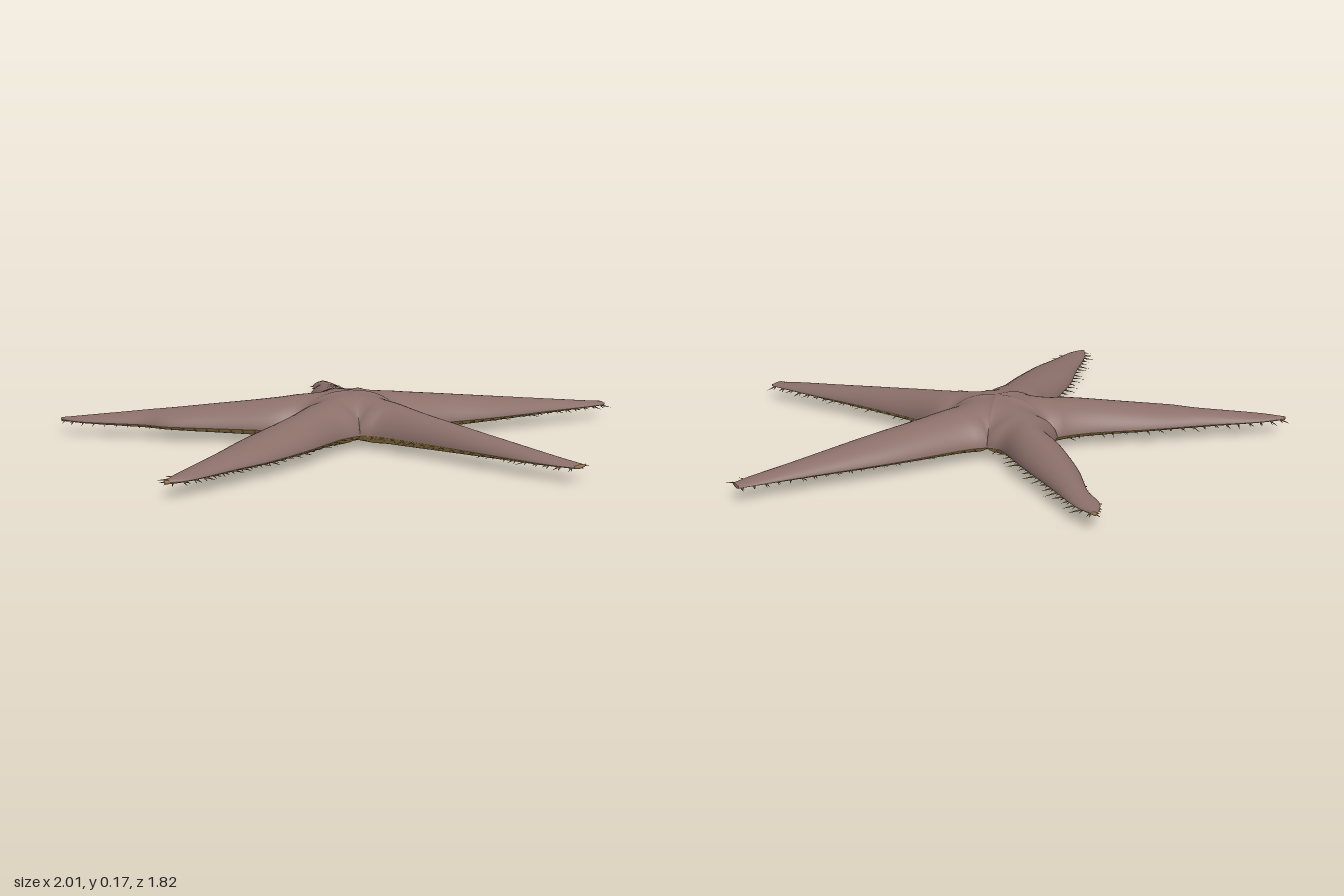
import * as THREE from 'three';
import { mergeGeometries, mergeVertices } from 'three/addons/utils/BufferGeometryUtils.js';

const CENTRE = new THREE.Vector2(-0.03, 0);
const INNER = 10, OUTER = 30, ACROSS = 24, TIP_ROWS = 2;
const LAST = INNER + OUTER, RIM = 0.05;

// Each arm: two edges in plan (x, z), running from the valley to the tip
const ARMS = [
  { name: 'back', spines: [0.014, 0.046],
    a: [[-.16, -.20], [-.09, -.28], [-.08, -.38], [-.03, -.56], [.04, -.73], [.06, -.83], [.115, -.90]],
    b: [[.11, -.18], [.08, -.23], [.10, -.39], [.12, -.61], [.14, -.81], [.125, -.89]] },
  { name: 'left', spines: [0.026, 0.044],
    a: [[.11, -.18], [.19, -.165], [.46, -.17], [.73, -.16], [.93, -.155], [1.0, -.155]],
    b: [[.16, .10], [.30, .065], [.51, .03], [.78, -.04], [.93, -.075], [1.0, -.10]] },
  { name: 'frontLeft', spines: [0.044, 0.044],
    a: [[.16, .10], [.19, .25], [.27, .43], [.38, .65], [.45, .80], [.48, .87]],
    b: [[-.06, .21], [-.01, .24], [.09, .38], [.22, .59], [.35, .80], [.43, .895]] },
  { name: 'frontRight', spines: [0.04, 0.044],
    a: [[-.06, .21], [-.14, .25], [-.29, .39], [-.45, .52], [-.58, .60], [-.75, .71], [-.82, .72]],
    b: [[-.26, .04], [-.34, .15], [-.53, .33], [-.66, .49], [-.79, .64], [-.835, .715]] },
  { name: 'right', spines: [0.016, 0.048],
    a: [[-.26, .04], [-.32, .03], [-.48, -.05], [-.66, -.14], [-.74, -.21], [-.93, -.32], [-1.0, -.40]],
    b: [[-.16, -.20], [-.22, -.20], [-.32, -.22], [-.50, -.28], [-.72, -.34], [-.89, -.395], [-.99, -.405]] },
];
const edgeCurve = (pts) => new THREE.SplineCurve(pts.map(([x, z]) => new THREE.Vector2(x, z)));

// Point on an edge: straight from the centre to the valley, then along the arm
function edgePoint(curve, row) {
  if (row <= INNER) return CENTRE.clone().lerp(curve.getPointAt(0), row / INNER);
  return curve.getPointAt(Math.min(1, (row - INNER) / OUTER));
}

// Domed upper skin: straight ridge, rounded flanks, soft blend at the centre
function topHeight(v, f, t) {
  const edge = RIM + (0.175 - RIM) * (1 - t * t * t);
  const ridge = 0.175 - 0.117 * f;
  return edge + (ridge - edge) * Math.pow(Math.max(0, 1 - v * v), 2 - 1.4 * t * t);
}

// Shallow underside: two swellings beside a central groove
function bottomHeight(v, f, t) {
  const edge = 0.006 + (RIM - 0.006) * t * t;
  const keel = 0.003 + 0.041 * f;
  const swell = Math.pow(Math.max(0, 1 - v * v), 1.5 - 0.75 * t);
  const groove = 0.022 * (1 - f) * t * Math.exp(-Math.pow(v / 0.17, 2));
  return edge + (keel - edge) * swell + groove;
}

// All five arms as one smooth skin; the tips form a second material group
function makeSkin(height, upward) {
  const pos = [], body = [], tips = [];
  for (const arm of ARMS) {
    const ca = edgeCurve(arm.a), cb = edgeCurve(arm.b);
    const tip = ca.getPoint(1).lerp(cb.getPoint(1), 0.5);
    const length = tip.distanceTo(CENTRE), start = pos.length / 3;
    // the extra last row closes the blunt end of the arm
    for (let i = 0; i <= LAST + 1; i++) {
      const p = edgePoint(ca, i), q = edgePoint(cb, i);
      const f = Math.min(1, p.clone().lerp(q, 0.5).distanceTo(CENTRE) / length);
      const t = Math.min(1, i / INNER);
      for (let j = 0; j <= ACROSS; j++) {
        const v = -Math.cos((Math.PI * j) / ACROSS);
        const c = p.clone().lerp(q, (v + 1) / 2);
        const endY = upward ? 0.056 : 0.0565;
        pos.push(c.x, i > LAST ? endY : height(v, f, t), c.y);
      }
    }
    for (let i = 0; i <= LAST; i++) {
      const list = i >= LAST - TIP_ROWS ? tips : body;
      for (let j = 0; j < ACROSS; j++) {
        const a = start + i * (ACROSS + 1) + j, b = a + 1;
        const c = a + ACROSS + 1, d = c + 1;
        if (upward) list.push(a, b, c, b, d, c);
        else list.push(a, c, b, b, c, d);
      }
    }
  }
  const g = new THREE.BufferGeometry();
  g.setAttribute('position', new THREE.Float32BufferAttribute(pos, 3));
  g.setIndex([...body, ...tips]);
  g.addGroup(0, body.length, 0);
  g.addGroup(body.length, tips.length, 1);
  const merged = mergeVertices(g, 1e-4);
  merged.computeVertexNormals();
  return merged;
}

// One thin spike from a base point along a direction
function spike(base, dir, length, radius) {
  const g = new THREE.ConeGeometry(radius, length, 4);
  g.translate(0, length / 2 - 0.004, 0);
  g.applyQuaternion(new THREE.Quaternion().setFromUnitVectors(new THREE.Vector3(0, 1, 0), dir.normalize()));
  return g.translate(base.x, base.y, base.z);
}

// Fringe of spines along both edges of an arm, plus a short row beneath
function makeSpines(arm) {
  const parts = [], ca = edgeCurve(arm.a), cb = edgeCurve(arm.b);
  [[ca, cb, arm.spines[0]], [cb, ca, arm.spines[1]]].forEach(([edge, other, size]) => {
    const count = Math.round(edge.getLength() / 0.043);
    for (let k = 1; k <= count; k++) {
      const u = k / (count + 0.3);
      const p = edge.getPointAt(u), q = other.getPointAt(u), tan = edge.getTangentAt(u);
      const out = new THREE.Vector2(-tan.y, tan.x);
      if (out.dot(p.clone().sub(q)) < 0) out.negate();
      out.addScaledVector(tan, 0.25 * Math.sin(k * 2.3));
      const length = size * (0.85 + 0.25 * Math.sin(k * 1.7));
      parts.push(spike(new THREE.Vector3(p.x, 0.048, p.y), new THREE.Vector3(out.x, -0.1, out.y), length, 0.0035));
      const m = p.clone().lerp(q, 0.07);
      parts.push(spike(new THREE.Vector3(m.x, 0.043, m.y), new THREE.Vector3(out.x, -0.7, out.y), 0.016, 0.003));
    }
  });
  return mergeGeometries(parts);
}

export function createModel() {
  const mat = (name, color) => {
    const m = new THREE.MeshStandardMaterial({ color });
    m.name = name;
    return m;
  };
  const skin = mat('dusty mauve skin', 0x8c706a);
  const under = mat('golden tan underside', 0xcfa562);
  const tan = mat('peach tan tips', 0xdba878);
  const spineMat = mat('olive spines', 0xa08a52);
  const mouthMat = mat('pale mouth', 0xc8a298);
  const dark = mat('dark mouth rim', 0x5a4230);

  const model = new THREE.Group();
  model.name = 'starfish';
  const add = (name, geometry, material) => {
    const mesh = new THREE.Mesh(geometry, material);
    mesh.name = name;
    model.add(mesh);
    return mesh;
  };

  add('upperBody', makeSkin(topHeight, true), [skin, skin]);
  add('underside', makeSkin(bottomHeight, false), [under, tan]);
  for (const arm of ARMS) add(arm.name + 'ArmSpines', makeSpines(arm), spineMat);

  // Mouth in the middle of the underside
  const rim = add('mouthRim', new THREE.TorusGeometry(0.034, 0.004, 8, 24), dark);
  rim.rotation.x = Math.PI / 2;
  rim.position.set(CENTRE.x, 0.004, CENTRE.y);
  const mouth = add('mouth', new THREE.CylinderGeometry(0.033, 0.033, 0.008, 24), mouthMat);
  mouth.position.set(CENTRE.x, 0.005, CENTRE.y);
  return model;
}
